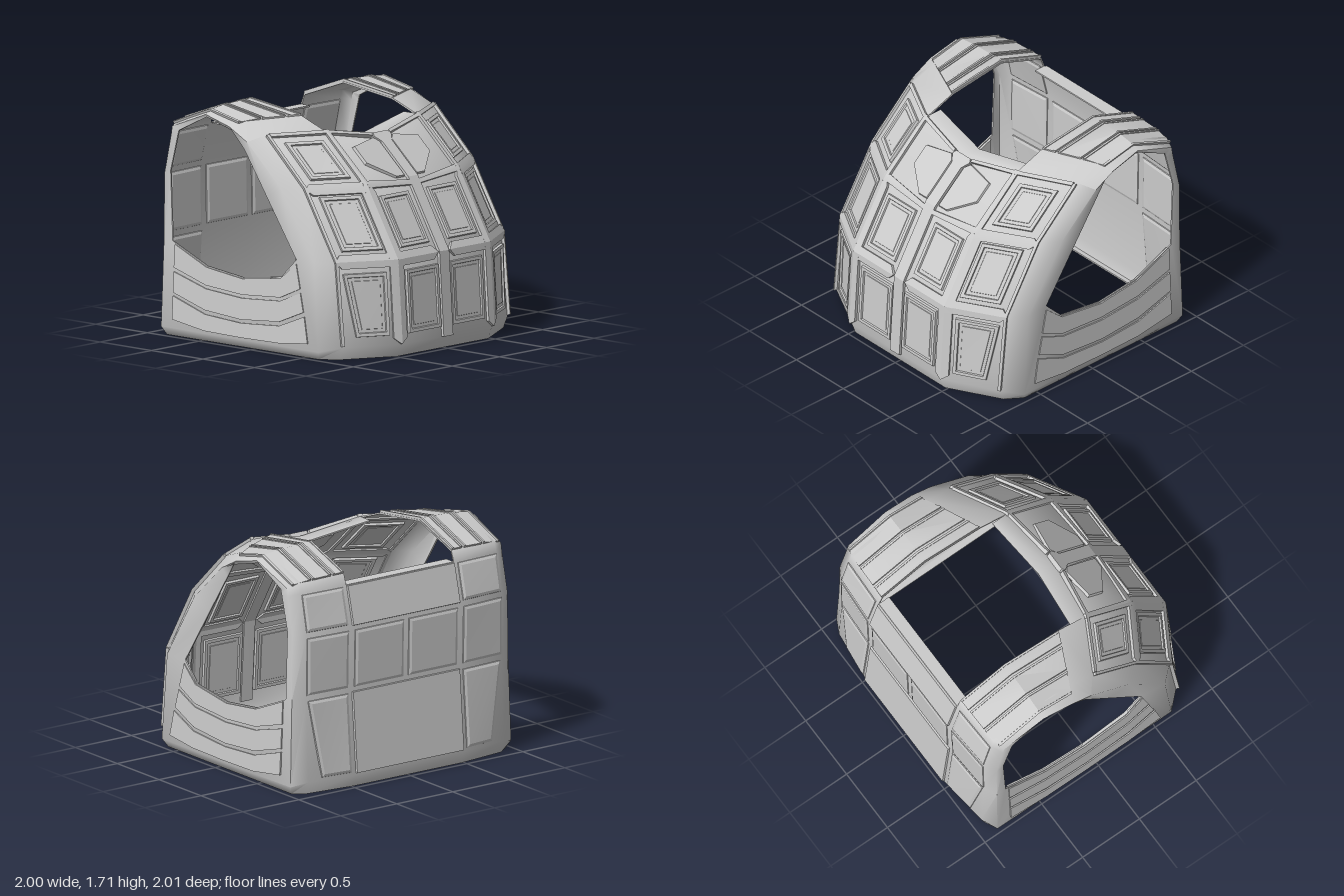
import * as THREE from 'three';
import { mergeVertices, toCreasedNormals } from 'three/addons/utils/BufferGeometryUtils.js';

const THICK = 0.012, XC = 0.48, XO = 0.87;
const mat = new THREE.MeshStandardMaterial({ color: 0xcccccc, side: THREE.DoubleSide });
const lerp = THREE.MathUtils.lerp;

// Stations from the front hem, over the shoulder, to the back hem:
// [z, y at x=XC,  z, y at x=XO,  x, y, z on the side,  y, z of the armhole edge]
const R = [
  [0.95, 0, 0.74, 0, 0.955, 0, 0.62],
  [0.985, 0.09, 0.78, 0.09, 0.99, 0.06, 0.65],
  [0.945, 0.7, 0.72, 0.7, 0.98, 0.7, 0.6, 0.7, 0.41],
  [0.645, 1.2, 0.415, 1.2, 0.98, 1.2, 0.28, 1.12, 0.124],
  [0.25, 1.55, 0.04, 1.55, 0.98, 1.5, -0.05, 1.44, -0.095],
  [0.02, 1.635, -0.16, 1.625, 0.98, 1.59, -0.22, 1.55, -0.17],
  [-0.46, 1.695, -0.46, 1.685, 0.97, 1.65, -0.46, 1.63, -0.46],
  [-0.84, 1.56, -0.83, 1.55, 0.955, 1.52, -0.8, 1.5, -0.73],
  [-0.87, 1.48, -0.855, 1.48, 0.955, 1.46, -0.81, 1.46, -0.742],
  [-0.945, 1.18, -0.92, 1.18, 0.96, 1.17, -0.87, 1.2, -0.81],
  [-0.935, 0.7, -0.915, 0.7, 0.965, 0.7, -0.87, 0.69, -0.79],
  [-0.985, 0.09, -0.94, 0.09, 0.985, 0.06, -0.88],
  [-0.96, 0, -0.915, 0, 0.955, 0, -0.85],
];

// Quads of a grid of points
function gridQuads(g) {
  const q = [];
  for (let i = 0; i + 1 < g.length; i++)
    for (let j = 0; j + 1 < g[i].length; j++) q.push([g[i][j], g[i][j + 1], g[i + 1][j + 1], g[i + 1][j]]);
  return q;
}
const both = (qs) => [...qs, ...qs.map((q) => q.map(([x, y, z]) => [-x, y, z]).reverse())];

function finish(name, pos, crease) {
  const g = new THREE.BufferGeometry();
  g.setAttribute('position', new THREE.Float32BufferAttribute(pos, 3));
  const mesh = new THREE.Mesh(toCreasedNormals(g, crease), mat);
  mesh.name = name;
  return mesh;
}

// Closed sheet: the surface lifted along its normals, a back face and rim walls
function sheet(name, quads, lift, thick, crease = 0.5) {
  const raw = [];
  for (const q of quads) for (let k = 1; k + 1 < q.length; k++) raw.push(...q[0], ...q[k], ...q[k + 1]);
  let g = new THREE.BufferGeometry();
  g.setAttribute('position', new THREE.Float32BufferAttribute(raw, 3));
  g = mergeVertices(g, 1e-4);
  g.computeVertexNormals();
  const P = g.attributes.position, N = g.attributes.normal, out = [];
  const v = (i, h) => [P.getX(i) + N.getX(i) * h, P.getY(i) + N.getY(i) * h, P.getZ(i) + N.getZ(i) * h];
  const a = lift, b = lift - thick, edges = new Map(), id = g.index.array;
  for (let t = 0; t < id.length; t += 3) {
    const [i, j, k] = id.slice(t, t + 3);
    if (i === j || j === k || k === i) continue;
    out.push(...v(i, a), ...v(j, a), ...v(k, a), ...v(k, b), ...v(j, b), ...v(i, b));
    for (const [m, n] of [[i, j], [j, k], [k, i]]) edges.set(m + '_' + n, [m, n]);
  }
  for (const [m, n] of edges.values()) {
    if (edges.has(n + '_' + m)) continue;
    out.push(...v(m, a), ...v(m, b), ...v(n, b), ...v(m, a), ...v(n, b), ...v(n, a));
  }
  return finish(name, out, crease);
}

// Stepped plate on a polygon: each layer is [inset, height], closed by a cap
function plate(name, corners, layers, base = 0, sign = 1) {
  const pts = corners.map((c) => new THREE.Vector3(...c)), n = pts.length, nor = new THREE.Vector3();
  pts.forEach((p, i) => nor.add(p.clone().cross(pts[(i + 1) % n])));
  nor.normalize();
  const loops = layers.map(([inset, h]) => pts.map((p, i) => {
    const n1 = nor.clone().cross(p.clone().sub(pts[(i + n - 1) % n]).normalize());
    const n2 = nor.clone().cross(pts[(i + 1) % n].clone().sub(p).normalize());
    const m = n1.clone().add(n2).multiplyScalar(inset / (1 + n1.dot(n2)));
    return p.clone().add(m).addScaledVector(nor, base + sign * h).toArray();
  }));
  const out = [];
  const tri = (a, b, c) => (sign > 0 ? out.push(...a, ...b, ...c) : out.push(...c, ...b, ...a));
  for (let l = 0; l + 1 < loops.length; l++)
    for (let i = 0; i < n; i++) {
      const j = (i + 1) % n, A = loops[l], B = loops[l + 1];
      tri(A[i], A[j], B[j]);
      tri(A[i], B[j], B[i]);
    }
  const cap = loops[loops.length - 1];
  for (let i = 1; i + 1 < n; i++) tri(cap[0], cap[i], cap[i + 1]);
  return finish(name, out, 0.2);
}

// Point on the front or back surface at a given x and y
function onBody(x, y, from, to) {
  const step = Math.sign(to - from);
  let i = from;
  while (i + step !== to && R[i + step][1] < y) i += step;
  const a = R[i], b = R[i + step], f = (y - a[1]) / (b[1] - a[1]);
  const k = Math.max(0, (Math.abs(x) - XC) / (XO - XC));
  return [x, y, lerp(lerp(a[0], b[0], f), lerp(a[2], b[2], f), k)];
}
const front = ([x, y]) => onBody(x, y, 0, 4);
const back = ([x, y]) => onBody(x, y, 12, 7);
const strap = (x, i) => {
  const [zc, yc, zo, yo, xs, ys, zs] = R[i], k = (x - XC) / (XO - XC), s = (x - XO) / (xs - XO);
  return k <= 1 ? [x, lerp(yc, yo, k), lerp(zc, zo, k)] : [x, lerp(yo, ys, s), lerp(zo, zs, s)];
};
const rect = (x0, y0, x1, y1) => [[x0, y0], [x1, y0], [x1, y1], [x0, y1]];

function bodyQuads() {
  const c = R.map((r) => [XC, r[1], r[0]]), o = R.map((r) => [XO, r[3], r[2]]);
  const s = R.map((r) => [r[4], r[5], r[6]]), arm = R.map((r) => [0.96, r[7], r[8]]);
  const mid = R.map((r, i) => (i === 4 ? [0, 1.48, 0.3] : [0, r[1], r[0]]));
  const cols = (lists, a, b) => {
    const g = [];
    for (let i = a; i <= b; i++) g.push(lists.map((l) => l[i]));
    return gridQuads(g);
  };
  // Side wall below the armhole
  const hem = [0.3, -0.1, -0.45];
  const low = [
    [s[0], ...hem.map((z) => [0.955, 0, z]), s[12]],
    [s[1], ...hem.map((z) => [0.99, 0.06, z]), s[11]],
    [arm[2], [0.965, 0.56, 0.27], [0.965, 0.51, -0.1], [0.965, 0.55, -0.45], arm[10]],
  ];
  // Flanges folded inward along the neckline and the hem
  const frontLip = [mid[4], c[4], [XC, 1.55, 0.13], [0, 1.475, 0.19]];
  const backLip = [[0, 1.48, -0.78], [XC, 1.48, -0.78], c[8], mid[8]];
  const rim = [mid[0], c[0], o[0], ...low[0], o[12], c[12], mid[12]];
  const hemLip = gridQuads([rim.map(([x, y, z]) => [x * 0.95, y, z * 0.95]), rim]);
  return both([
    ...cols([mid, c], 0, 4), ...cols([mid, c], 8, 12), ...cols([c, o, s], 0, 12), ...cols([s, arm], 2, 10),
    ...gridQuads(low), [s[1], arm[2], s[2]], [s[11], s[10], arm[10]], frontLip, backLip, ...hemLip,
  ]);
}

export function createModel() {
  const group = new THREE.Group();
  group.name = 'chestArmour';
  group.add(sheet('shell', bodyQuads(), 0, THICK, 1.15));

  // Plates on both halves, repeated on the inner face
  const addPlates = (name, surf, shape, layers) => {
    for (const m of [1, -1]) {
      const pts = shape.map(([x, y]) => surf([x * m, y]));
      if ((surf === back) !== (m < 0)) pts.reverse();
      group.add(plate(name, pts, layers), plate(name + 'Inner', pts, layers, -THICK, -1));
    }
  };
  const frame = [[0, -0.005], [0.004, 0.018], [0.028, 0.018], [0.032, 0.006], [0.055, 0.006], [0.057, 0.009]];
  const frontCells = [
    rect(0.06, 0.16, 0.4, 0.62), rect(0.1, 0.77, 0.4, 1.12), rect(0.54, 0.77, 0.81, 1.14), rect(0.54, 1.25, 0.8, 1.49),
    [[0.55, 0.16], [0.78, 0.16], [0.84, 0.62], [0.55, 0.62]],
  ];
  for (const cell of frontCells) addPlates('frontPanel', front, cell, frame);
  addPlates('pectoralPlate', front, [[0.06, 1.21], [0.15, 1.21], [0.34, 1.32], [0.34, 1.43], [0.1, 1.46], [0.06, 1.43]],
    [[0, -0.005], [0.006, 0.016]]);

  // Raised ribs dividing the front into cells
  const rib = (name, quads) => {
    group.add(sheet(name, both(quads), 0.022, 0.027, 0.3));
    group.add(sheet(name + 'Inner', both(quads), -0.005, 0.019, 0.3));
  };
  // Horizontal rib stations: [x, y, half height]
  const crossRib = (name, st) =>
    rib(name, gridQuads([-1, 0, 1].map((k) => st.map(([x, y, h]) => front([x, y + k * h])))));
  crossRib('waistRib', [[0.06, 0.7, 0], [0.11, 0.7, 0.045], [XC, 0.7, 0.045], [0.84, 0.7, 0.045], [0.885, 0.7, 0]]);
  crossRib('chestRib', [[0.05, 1.165, 0.015], [XC, 1.2, 0.02]]);
  crossRib('upperRib', [[XC, 1.185, 0.035], [0.84, 1.185, 0.035], [0.88, 1.19, 0]]);
  crossRib('neckRib', [[0.09, 1.475, 0.008], [XC, 1.537, 0.01], [0.86, 1.537, 0.01]]);
  // Vertical rib stations: [y, half width]
  const uprightRib = (name, x, st) =>
    rib(name, gridQuads(st.map(([y, h]) => [-1, 0, 1].map((k) => front([x + k * h, y])))));
  uprightRib('uprightRib', XC, [[0.095, 0], [0.14, 0.05], [0.7, 0.05], [1.15, 0.05], [1.2, 0.02], [1.55, 0.015]]);
  uprightRib('edgeRib', 0.872, [[0.1, 0.01], [0.7, 0.01], [1.2, 0.01], [1.54, 0.01]]);
  const spine = [[0.09, 0.05], [0.7, 0.05], [1.2, 0.05], [1.42, 0.05], [1.46, 0.09], [1.48, 0.075]];
  rib('spine', gridQuads(spine.map(([y, w]) => [[0, y], [w, y]].map(front))));

  // Back panels
  const pillow = [[0, -0.005], [0.004, 0.006], [0.025, 0.014]];
  const slab = [[0, -0.005], [0.004, 0.015]];
  for (const cell of [rect(0.51, 1.2, 0.87, 1.47), rect(0.51, 0.73, 0.87, 1.16), rect(0.02, 0.73, 0.46, 1.16),
    [[0.51, 0.11], [0.76, 0.11], [0.86, 0.69], [0.51, 0.69]]]) addPlates('backPanel', back, cell, pillow);
  const wide = (name, y0, y1) => group.add(plate(name, rect(-XC, y0, XC, y1).map(back).reverse(), slab));
  wide('upperBackPlate', 1.19, 1.475);
  wide('lowerBackPlate', 0.1, 0.7);

  // Shoulder strips with raised edges running over the straps
  const run = (x0, x1) => both(gridQuads([5, 6, 7].map((i) => [strap(x0, i), strap(x1, i)])));
  for (const [x0, x1] of [[0.485, 0.575], [0.595, 0.755], [0.77, 0.92]]) {
    group.add(sheet('shoulderStrip', run(x0, x1), 0.012, 0.016));
    for (const x of [x0, x1 - 0.015]) group.add(sheet('shoulderStripEdge', run(x, x + 0.015), 0.018, 0.02));
  }

  // Curved bands under the armholes: [front z, y] with y at each station
  const zs = [0.27, -0.1, -0.45];
  const edge = (z0, y0, ys, yEnd) => [[z0, y0], ...zs.map((z, i) => [z, ys[i]]), [-0.765, yEnd]]
    .map(([z, y]) => [0.992 - 0.05 * y, y, z]);
  const bands = [
    [edge(0.55, 0.11, [0.08, 0.075, 0.08], 0.125), edge(0.51, 0.3, [0.205, 0.18, 0.2], 0.295)],
    [edge(0.5, 0.33, [0.235, 0.205, 0.23], 0.32), edge(0.465, 0.465, [0.385, 0.36, 0.385], 0.47)],
    [edge(0.46, 0.495, [0.41, 0.385, 0.41], 0.5), edge(0.415, 0.67, [0.55, 0.5, 0.54], 0.67)],
  ];
  for (const b of bands) group.add(sheet('sideBand', both(gridQuads(b)), 0.01, 0.035));
  return group;
}
